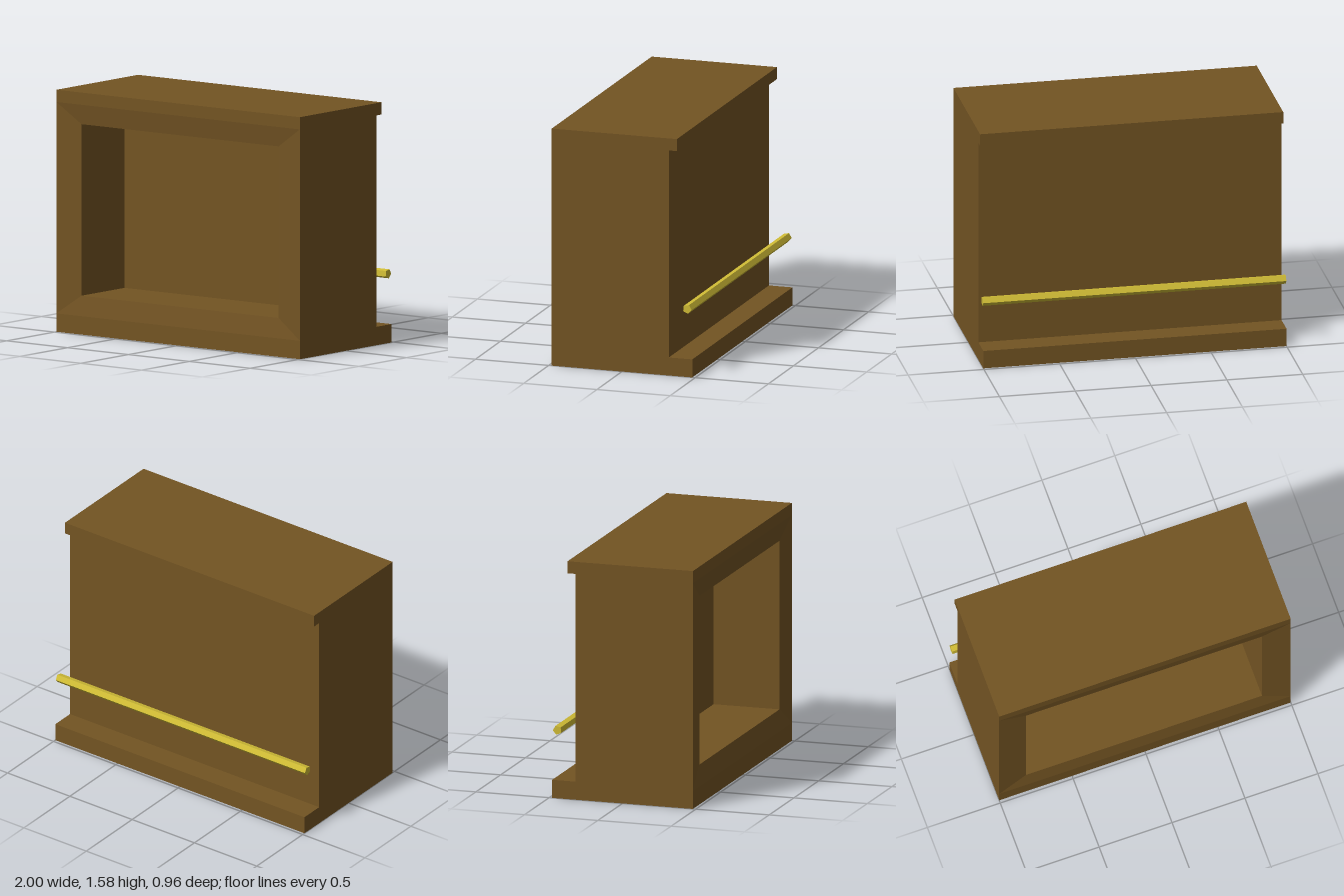
import * as THREE from 'three';

export function createModel() {
  const model = new THREE.Group();
  const wood = new THREE.MeshStandardMaterial({ color: 0x735423 });
  wood.name = 'brown wood';
  const brass = new THREE.MeshStandardMaterial({ color: 0xcfbb35 });
  brass.name = 'yellow brass';

  function add(name, geometry, material) {
    const mesh = new THREE.Mesh(geometry, material);
    mesh.name = name;
    model.add(mesh);
    return mesh;
  }

  // Full-width slab between two heights, from the front face to zBack
  function slab(name, y0, y1, zBack) {
    const front = 0.48;
    add(name, new THREE.BoxGeometry(2, y1 - y0, front - zBack), wood)
      .position.set(0, (y0 + y1) / 2, (front + zBack) / 2);
  }
  slab('baseSlab', 0, 0.12, -0.48);
  slab('topSlab', 1.5, 1.58, -0.375);

  // Cabinet shell: rectangular rings from the back, round the shallow
  // bevelled frame and into the recess
  const ring = (w, y0, y1, z) => [[-w, y0, z], [w, y0, z], [w, y1, z], [-w, y1, z]];
  const rings = [
    ring(1, 0.12, 1.5, -0.32),
    ring(1, 0.12, 1.5, 0.48),
    ring(0.81, 0.25, 1.37, 0.46),
    ring(0.81, 0.25, 1.37, 0.01),
  ];
  const positions = [];
  const quad = (a, b, c, d) => positions.push(...a, ...b, ...c, ...a, ...c, ...d);
  for (let r = 0; r < rings.length - 1; r++) {
    for (let i = 0; i < 4; i++) {
      const j = (i + 1) % 4;
      quad(rings[r][i], rings[r][j], rings[r + 1][j], rings[r + 1][i]);
    }
  }
  quad(...rings[3]); // recess back wall
  quad(...[...rings[0]].reverse()); // rear panel
  const shell = new THREE.BufferGeometry();
  shell.setAttribute('position', new THREE.Float32BufferAttribute(positions, 3));
  shell.computeVertexNormals();
  add('cabinetShell', shell, wood);

  // Five-sided rail floating behind the rear panel
  const rail = new THREE.CylinderGeometry(0.031, 0.031, 2, 5, 1, false, THREE.MathUtils.degToRad(258))
    .rotateZ(Math.PI / 2).toNonIndexed();
  rail.computeVertexNormals();
  add('rearRail', rail, brass).position.set(0, 0.452, -0.445);

  return model;
}
